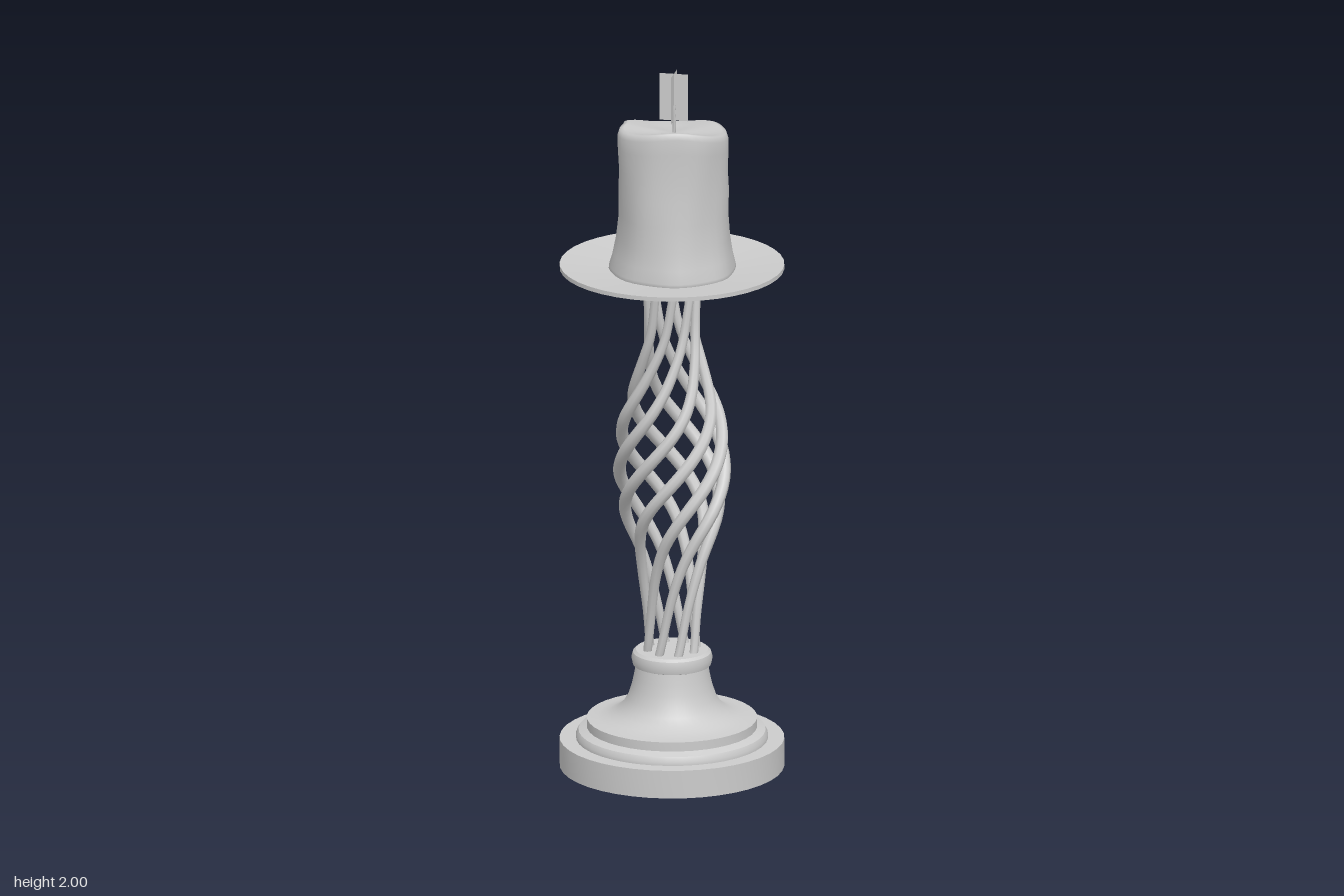
import * as THREE from 'three';
import { mergeVertices, toCreasedNormals } from 'three/addons/utils/BufferGeometryUtils.js';

const grey = new THREE.MeshStandardMaterial({ color: 0xcccccc });
const greyThin = new THREE.MeshStandardMaterial({ color: 0xcccccc, side: THREE.DoubleSide });

function addMesh(parent, name, geometry, material = grey) {
  const mesh = new THREE.Mesh(geometry, material);
  mesh.name = name;
  parent.add(mesh);
  return mesh;
}

const toPoints = (list) => list.map(([r, y]) => new THREE.Vector2(r, y));

function turned(list, sides = 40) {
  return toCreasedNormals(new THREE.LatheGeometry(toPoints(list), sides), 0.6);
}

// Strand that swells away from the axis while winding around it
function strandGeometry(start, y0, y1) {
  const reach = new THREE.SplineCurve(toPoints([
    [0.07, 0.32], [0.07, 0.45], [0.09, 0.6], [0.133, 0.75], [0.145, 0.88],
    [0.13, 1.01], [0.085, 1.15], [0.066, 1.26], [0.07, 1.41],
  ]));
  const pts = [];
  for (let i = 0; i <= 32; i++) {
    const t = i / 32;
    const p = reach.getPoint(t);
    const a = start + 1.5 * Math.PI * (t - 0.3 * Math.sin(2 * Math.PI * t) / (2 * Math.PI));
    pts.push(new THREE.Vector3(p.x * Math.sin(a), y0 + (p.y - 0.32) / 1.09 * (y1 - y0), p.x * Math.cos(a)));
  }
  const rings = 48, sides = 8;
  const curve = new THREE.CatmullRomCurve3(pts);
  const tube = new THREE.TubeGeometry(curve, rings, 1, sides);
  // Rescale each ring about its centre so the strand is thickest mid-way
  const pos = tube.attributes.position;
  const v = new THREE.Vector3();
  for (let i = 0; i <= rings; i++) {
    const c = curve.getPointAt(i / rings);
    const thick = 0.012 + 0.006 * Math.sin(Math.PI * i / rings) ** 2;
    for (let j = 0; j <= sides; j++) {
      const k = i * (sides + 1) + j;
      v.fromBufferAttribute(pos, k).sub(c).multiplyScalar(thick).add(c);
      pos.setXYZ(k, v.x, v.y, v.z);
    }
  }
  return tube;
}

// Wax body: lathe with uneven sides and a slanted, sagging top
function candleGeometry() {
  const g = new THREE.LatheGeometry(toPoints([
    [0, 1.42], [0.174, 1.42], [0.174, 1.445], [0.165, 1.48], [0.157, 1.53], [0.152, 1.6],
    [0.152, 1.67], [0.149, 1.73], [0.152, 1.79], [0.152, 1.825], [0.147, 1.842],
    [0.135, 1.845], [0.1, 1.837], [0.05, 1.832], [0, 1.83],
  ]), 40);
  g.deleteAttribute('uv');
  g.deleteAttribute('normal');
  const pos = g.attributes.position;
  for (let i = 0; i < pos.count; i++) {
    const x = pos.getX(i), y = pos.getY(i), z = pos.getZ(i);
    const a = Math.atan2(x, z);
    const up = (y - 1.42) / 0.42;
    const bump = 1 + 0.018 * Math.sin(3 * a + 5 * up) + 0.014 * Math.sin(7 * a - 4 * up)
      - 0.05 * up * Math.exp(-(((a + 1.55) / 0.18) ** 2));
    const top = THREE.MathUtils.smoothstep(y, 1.72, 1.83);
    const slant = top * (0.15 * z + 0.05 * Math.hypot(x, z) * Math.sin(3 * a + 0.6));
    pos.setXYZ(i, x * bump + 0.004, y + slant, z * bump + 0.004);
  }
  const merged = mergeVertices(g, 1e-4);
  merged.computeVertexNormals();
  return merged;
}

export function createModel() {
  const model = new THREE.Group();
  model.name = 'candlestick';

  // Stepped foot, flared neck and collar
  addMesh(model, 'foot', turned([
    [0, 0], [0.31, 0], [0.31, 0.08], [0.265, 0.08], [0.265, 0.09], [0.258, 0.103], [0.245, 0.108],
    [0.235, 0.112], [0.235, 0.138], [0.205, 0.14], [0.18, 0.146], [0.158, 0.157], [0.137, 0.175],
    [0.122, 0.2], [0.112, 0.23], [0.105, 0.26], [0.1, 0.29],
    [0.108, 0.293], [0.112, 0.312], [0.108, 0.328], [0.1, 0.335], [0, 0.335],
  ]));

  // Open twisted stem
  const stem = new THREE.Group();
  stem.name = 'twistedStem';
  model.add(stem);
  const strands = 8;
  for (let i = 0; i < strands; i++) {
    addMesh(stem, 'strand', strandGeometry((i + 0.5) / strands * 2 * Math.PI, 0.32, 1.415));
  }

  // Shallow drip plate
  addMesh(model, 'dripPlate', turned([
    [0, 1.403], [0.09, 1.403], [0.2, 1.418], [0.31, 1.438], [0.31, 1.45], [0.2, 1.438], [0.1, 1.428], [0, 1.425],
  ]));

  addMesh(model, 'candle', candleGeometry());

  // Wick with a slight bend
  const wickPath = new THREE.CatmullRomCurve3([
    new THREE.Vector3(0.006, 1.82, 0.002), new THREE.Vector3(0.007, 1.86, 0.003),
    new THREE.Vector3(0.005, 1.89, 0.006), new THREE.Vector3(0.007, 1.91, 0.004),
  ]);
  addMesh(model, 'wick', new THREE.TubeGeometry(wickPath, 8, 0.005, 6), greyThin);

  // Flame from two crossed cards
  for (const turn of [0, Math.PI / 2]) {
    const card = addMesh(model, 'flameCard', new THREE.PlaneGeometry(0.08, 0.135), greyThin);
    card.position.set(0.006, 1.9325, 0.003);
    card.rotation.y = turn;
  }

  return model;
}
